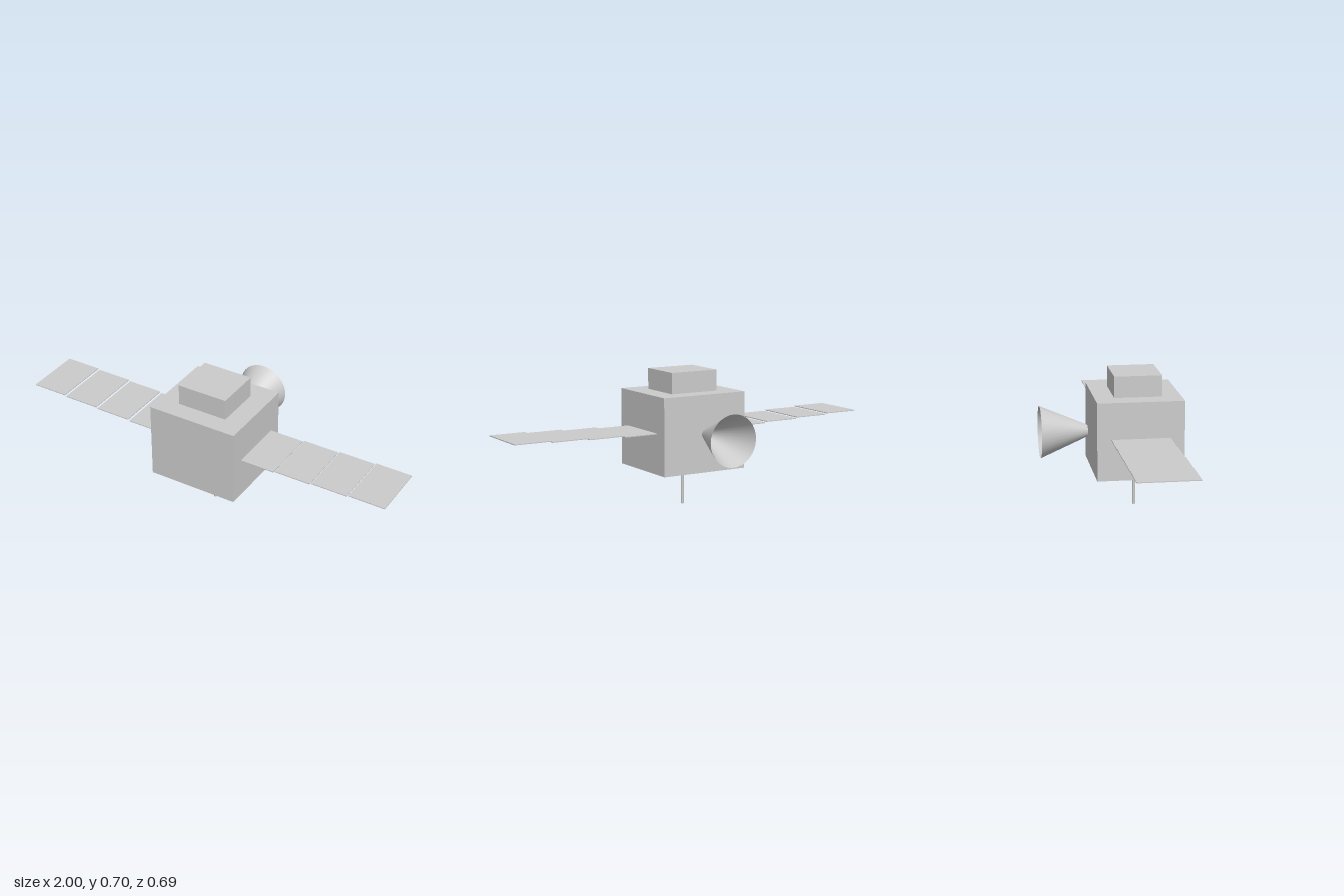
import * as THREE from 'three';

export function createModel() {
  const model = new THREE.Group();
  const grey = new THREE.MeshStandardMaterial({ color: 0xcccccc });
  const greyOpen = new THREE.MeshStandardMaterial({ color: 0xcccccc, side: THREE.DoubleSide });

  const add = (name, geometry, x, y, z, material = grey) => {
    const mesh = new THREE.Mesh(geometry, material);
    mesh.name = name;
    mesh.position.set(x, y, z);
    model.add(mesh);
    return mesh;
  };

  const midZ = 0.131;

  // Main body and the smaller box on its roof
  add('body', new THREE.BoxGeometry(0.47, 0.393, 0.432), 0, 0.3945, 0.13);
  add('topModule', new THREE.BoxGeometry(0.262, 0.107, 0.238), 0, 0.6445, midZ);

  // Thin antenna rod below the body
  add('antennaRod', new THREE.CylinderGeometry(0.0075, 0.0075, 0.198, 16), 0, 0.099, midZ);

  // Open cone dish behind the body, wide end to the rear
  const dish = add('dish', new THREE.CylinderGeometry(0.029, 0.131, 0.239, 32, 1, true),
    0, 0.396, -0.2255, greyOpen);
  dish.rotation.x = Math.PI / 2;

  // Solar panels: four flat plates per side, each a little higher than the last
  const panel = new THREE.BoxGeometry(0.187, 0.0045, 0.292);
  for (const [side, label] of [[1, 'left'], [-1, 'right']]) {
    for (let i = 0; i < 4; i++) {
      add(`${label}SolarPanel${i + 1}`, panel, side * (0.32 + i * 0.1955), 0.4045 + i * 0.006, midZ);
    }
  }

  return model;
}
